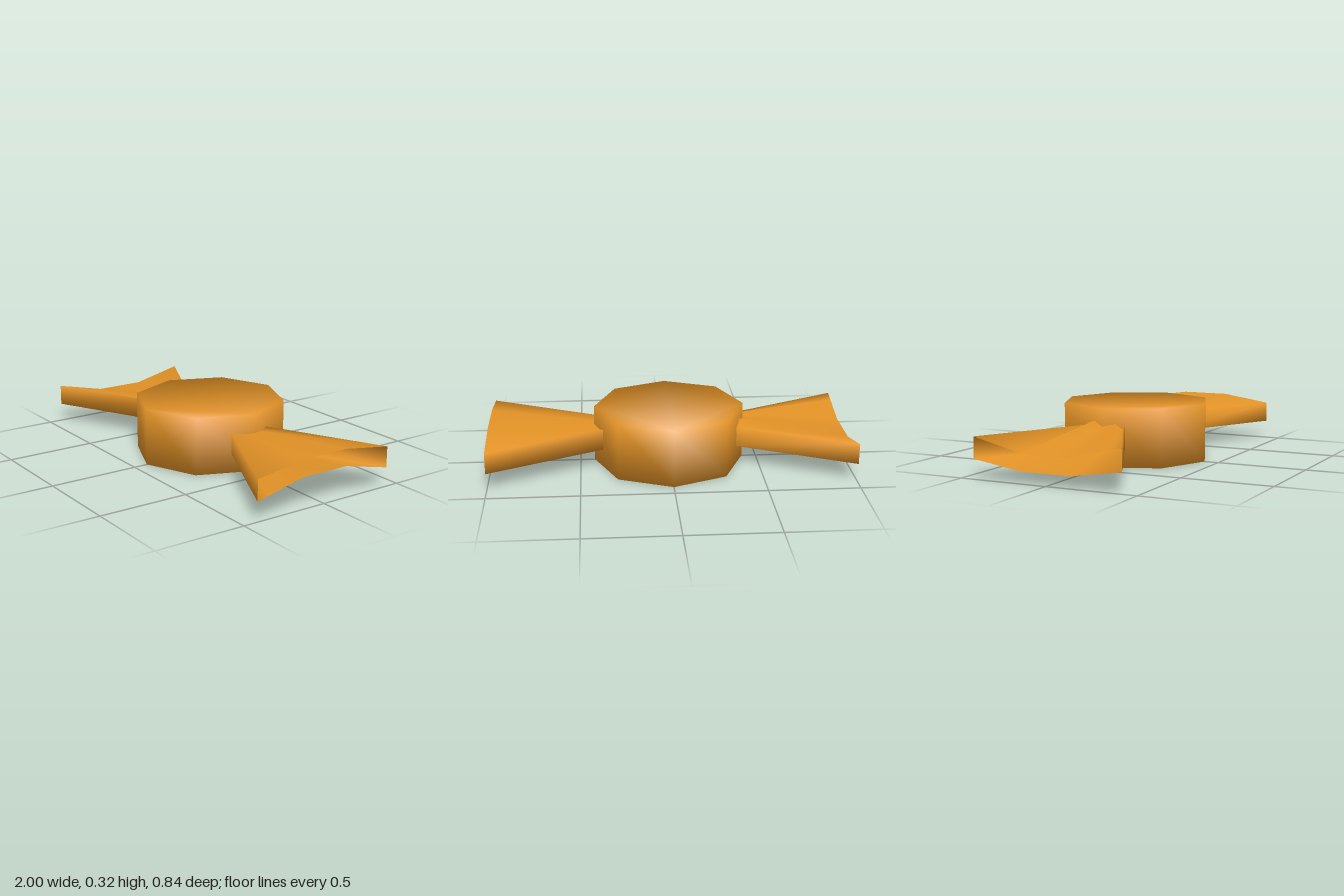
import * as THREE from 'three';

// Octagonal prism with soft, dome-like normals
function makeBody() {
  const shape = new THREE.Shape();
  for (let i = 0; i < 8; i++) {
    const a = (i * Math.PI) / 4;
    shape[i ? 'lineTo' : 'moveTo'](0.42 * Math.cos(a), 0.42 * Math.sin(a));
  }
  const geo = new THREE.ExtrudeGeometry(shape, { depth: 0.32, bevelEnabled: false });
  geo.rotateX(-Math.PI / 2);
  const p = geo.attributes.position;
  const n = new THREE.Vector3();
  for (let i = 0; i < p.count; i++) {
    n.set(p.getX(i), p.getY(i) > 0.16 ? 0.345 : -0.345, p.getZ(i)).normalize();
    geo.attributes.normal.setXYZ(i, n.x, n.y, n.z);
  }
  return geo;
}

// Hollow fan of wrapper: a loop of [z, y] points near the body joined to a wider loop at the open end
function makeFan() {
  const inner = [
    [0.1, 0.22], [0.035, 0.207], [-0.035, 0.207], [-0.1, 0.22],
    [-0.1, 0.105], [-0.055, 0.07], [0, 0.092], [0.045, 0.085], [0.085, 0.115], [0.1, 0.105],
  ];
  const outer = [
    [0.42, 0.22], [0.14, 0.262], [-0.14, 0.262], [-0.42, 0.22],
    [-0.42, 0.105], [-0.14, 0.17], [0, 0.17], [0.14, 0.17], [0.35, 0.121], [0.42, 0.105],
  ];
  const positions = [];
  const index = [];
  const n = inner.length;
  for (const [z, y] of inner) positions.push(0.34, y, z);
  for (const [z, y] of outer) positions.push(1, y, z);
  for (let i = 0; i < n; i++) {
    const j = (i + 1) % n;
    index.push(i, n + i, n + j, i, n + j, j);
  }
  const geo = new THREE.BufferGeometry();
  geo.setAttribute('position', new THREE.Float32BufferAttribute(positions, 3));
  geo.setIndex(index);
  geo.computeVertexNormals();
  return geo;
}

export function createModel() {
  const group = new THREE.Group();
  group.name = 'wrappedCandy';
  const wrapper = new THREE.MeshStandardMaterial({ color: 0xe29226, side: THREE.DoubleSide });
  wrapper.name = 'orangeWrapper';

  const body = new THREE.Mesh(makeBody(), wrapper);
  body.name = 'body';
  group.add(body);

  // The right fan is the left one turned half a turn about z
  const fan = makeFan();
  for (const side of ['left', 'right']) {
    const mesh = new THREE.Mesh(fan, wrapper);
    mesh.name = side + 'WrapperFan';
    if (side === 'right') {
      mesh.rotation.z = Math.PI;
      mesh.position.y = 0.325;
    }
    group.add(mesh);
  }
  return group;
}
